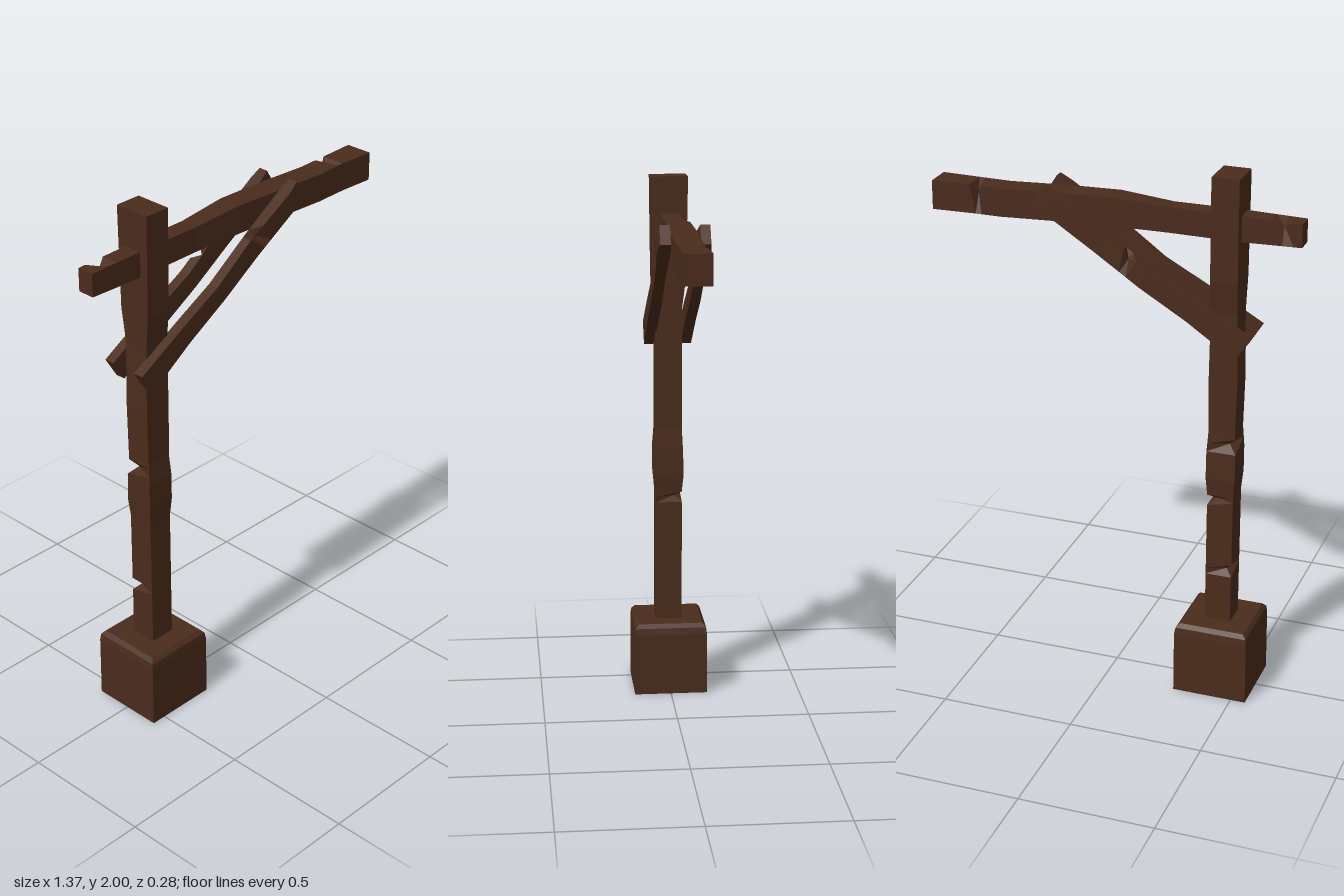
import * as THREE from 'three';

const wood = new THREE.MeshStandardMaterial({ color: 0x4a2c1d, flatShading: true });

// Rough-hewn timber along local y. sections: [y, x0, x1, z0, z1];
// chips: [y, corner, depth, halfLength], corners run (x0,z0) (x0,z1) (x1,z1) (x1,z0).
function timber(name, sections, chips = []) {
  const sample = (t) => {
    let i = 0;
    while (i < sections.length - 2 && sections[i + 1][0] < t) i++;
    const a = sections[i], b = sections[i + 1];
    const k = (t - a[0]) / (b[0] - a[0]);
    return a.map((n, j) => n + (b[j] - n) * k);
  };
  const rings = sections.map((s) => ({ s }));
  for (const [t, corner, depth, half] of chips) {
    rings.push({ s: sample(t - half) }, { s: sample(t), corner, depth }, { s: sample(t + half) });
  }
  rings.sort((a, b) => a.s[0] - b.s[0]);

  const pos = [], idx = [];
  for (const { s: [y, x0, x1, z0, z1], corner, depth } of rings) {
    [[x0, z0, 1, 1], [x0, z1, 1, -1], [x1, z1, -1, -1], [x1, z0, -1, 1]].forEach(([x, z, dx, dz], c) => {
      const d = c === corner ? depth : 0;
      pos.push(x + dx * d, y, z + dz * d);
    });
  }
  for (let r = 0; r < rings.length - 1; r++) {
    for (let c = 0; c < 4; c++) {
      const a = r * 4 + c, b = r * 4 + (c + 1) % 4;
      idx.push(a, b, b + 4, a, b + 4, a + 4);
    }
  }
  const e = (rings.length - 1) * 4;
  idx.push(0, 2, 1, 0, 3, 2, e, e + 1, e + 2, e, e + 2, e + 3);

  const indexed = new THREE.BufferGeometry();
  indexed.setAttribute('position', new THREE.Float32BufferAttribute(pos, 3));
  indexed.setIndex(idx);
  const geometry = indexed.toNonIndexed();
  geometry.computeVertexNormals();
  const mesh = new THREE.Mesh(geometry, wood);
  mesh.name = name;
  return mesh;
}

export function createModel() {
  const group = new THREE.Group();
  group.name = 'woodenSignPost';
  const postX = -0.415;

  // Square foot block with a bevelled top
  const base = timber('base', [
    [0, -0.14, 0.14, -0.14, 0.14],
    [0.24, -0.138, 0.14, -0.14, 0.138],
    [0.265, -0.135, 0.135, -0.137, 0.136],
    [0.28, -0.122, 0.122, -0.124, 0.122],
  ]);
  base.position.x = postX;

  // Upright post, swollen in the middle and thicker at the head
  const post = timber('post', [
    [0.27, -0.048, 0.05, -0.05, 0.05],
    [0.79, -0.048, 0.05, -0.05, 0.05],
    [0.86, -0.054, 0.055, -0.057, 0.056],
    [0.96, -0.054, 0.055, -0.054, 0.056],
    [1.04, -0.049, 0.05, -0.05, 0.05],
    [1.24, -0.053, 0.053, -0.05, 0.05],
    [1.5, -0.048, 0.05, -0.05, 0.05],
    [1.62, -0.05, 0.05, -0.066, 0.062],
    [2, -0.05, 0.05, -0.073, 0.066],
  ], [[0.49, 0, 0.024, 0.025], [0.77, 3, 0.028, 0.022], [0.995, 0, 0.028, 0.03]]);
  post.position.x = postX;

  // Crossbeam: local y runs along +x, local x points down
  const beam = timber('crossbeam', [
    [-0.68, -0.045, 0.04, -0.035, 0.03],
    [-0.45, -0.05, 0.045, -0.036, 0.032],
    [-0.2, -0.05, 0.042, -0.037, 0.032],
    [0, -0.066, 0.04, -0.046, 0.042],
    [0.2, -0.06, 0.045, -0.05, 0.046],
    [0.42, -0.05, 0.054, -0.05, 0.045],
    [0.55, -0.053, 0.054, -0.05, 0.042],
    [0.685, -0.053, 0.054, -0.055, 0.048],
  ], [[-0.61, 0, 0.022, 0.04], [0.52, 0, 0.034, 0.022]]);
  beam.rotation.z = -Math.PI / 2;
  beam.position.y = 1.812;

  group.add(base, post, beam);

  // Diagonal braces on either side of the beam; local x points to the underside
  const braces = [
    ['frontBrace', 0.045, 0.086, [[0.66, 1, 0.024, 0.035]]],
    ['backBrace', -0.095, -0.056, [[0.51, 0, 0.022, 0.03]]],
  ];
  for (const [name, z0, z1, chips] of braces) {
    const brace = timber(name, [
      [0, -0.047, 0.047, z0, z1],
      [0.22, -0.038, 0.04, z0, z1],
      [0.42, -0.024, 0.046, z0, z1],
      [0.62, -0.038, 0.042, z0 + 0.003, z1],
      [0.85, -0.038, 0.038, z0, z1 + 0.008],
      [0.9, -0.038, 0.036, z0 + 0.004, z1],
    ], chips);
    brace.position.set(-0.495, 1.39, 0);
    brace.rotation.z = Math.atan2(0.48, 0.763) - Math.PI / 2;
    group.add(brace);
  }
  return group;
}
